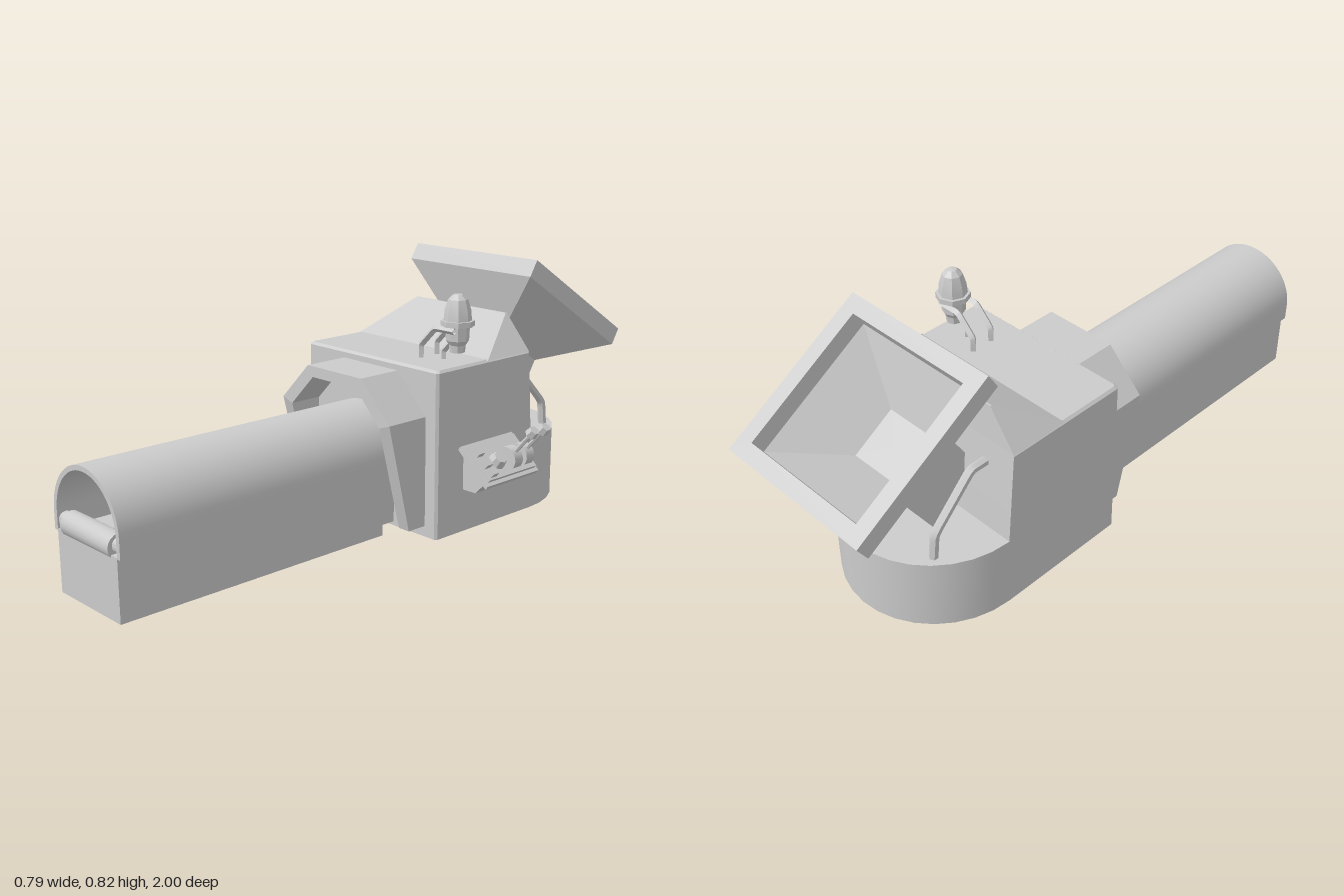
import * as THREE from 'three';
import { toCreasedNormals } from 'three/addons/utils/BufferGeometryUtils.js';

const mat = new THREE.MeshStandardMaterial({ color: 0xcccccc, side: THREE.DoubleSide });

function add(parent, name, geo, pos = [0, 0, 0], crease = 0.55) {
  const mesh = new THREE.Mesh(toCreasedNormals(geo, crease), mat);
  mesh.name = name;
  mesh.position.set(...pos);
  parent.add(mesh);
  return mesh;
}
function group(parent, name, x = 0, y = 0, z = 0) {
  const g = new THREE.Group();
  g.name = name;
  g.position.set(x, y, z);
  parent.add(g);
  return g;
}
const box = (w, h, d) => new THREE.BoxGeometry(w, h, d);
const shapeOf = pts => new THREE.Shape(pts.map(p => new THREE.Vector2(...p)));
const extrude = (shape, depth) =>
  new THREE.ExtrudeGeometry(shape, { depth, bevelEnabled: false, curveSegments: 14 });

// Skin between horizontal rings of [x, z] points, closed on top and open below
function loft(rings, heights) {
  const pos = [], n = rings[0].length;
  const put = (r, i) => pos.push(rings[r][i % n][0], heights[r], rings[r][i % n][1]);
  for (let r = 0; r < rings.length - 1; r++)
    for (let i = 0; i < n; i++) {
      put(r, i); put(r, i + 1); put(r + 1, i + 1);
      put(r, i); put(r + 1, i + 1); put(r + 1, i);
    }
  const top = rings.length - 1;
  for (let i = 1; i < n - 1; i++) { put(top, 0); put(top, i); put(top, i + 1); }
  const g = new THREE.BufferGeometry();
  g.setAttribute('position', new THREE.Float32BufferAttribute(pos, 3));
  g.computeVertexNormals();
  return g;
}
const rect = (hw, front, back) => [[hw, front], [hw, back], [-hw, back], [-hw, front]];

// Bent bar through straight segments
function bar(points, radius, sides = 6) {
  const path = new THREE.CurvePath();
  const v = points.map(p => new THREE.Vector3(...p));
  let from = v[0];
  for (let i = 1; i < v.length - 1; i++) {
    const a = v[i].clone().lerp(v[i - 1], 0.12), b = v[i].clone().lerp(v[i + 1], 0.12);
    path.add(new THREE.LineCurve3(from, a));
    path.add(new THREE.QuadraticBezierCurve3(a, v[i], b));
    from = b;
  }
  path.add(new THREE.LineCurve3(from, v[v.length - 1]));
  return new THREE.TubeGeometry(path, 30, radius, sides, false);
}

export function createModel() {
  const model = new THREE.Group();
  model.name = 'hopperMachine';
  const main = group(model, 'mainUnit', -0.095);
  const HW = 0.297, c = 0.008;

  // Rounded hollow base
  const base = [[HW - c, -0.06], [HW, -0.06 - c]];
  for (let i = 0; i <= 16; i++) {
    const a = (i / 16) * Math.PI;
    base.push([HW * Math.cos(a), -0.51 - 0.3 * Math.sin(a)]);
  }
  base.push([-HW, -0.06 - c], [-HW + c, -0.06]);
  add(main, 'roundedBase', loft([base, base], [0, 0.235]));

  // Upper housing with softened edges and a sloped cap
  const housing = (i, back) => [[HW - c - i, -0.06 - i], [HW - i, -0.06 - c - i], [HW - i, back],
    [-HW + i, back], [-HW + i, -0.06 - c - i], [-HW + c + i, -0.06 - i]];
  add(main, 'housing', loft([housing(0, -0.506), housing(0, -0.484), housing(c, -0.483)], [0.235, 0.533, 0.541]), [0, 0, 0], 0.2);
  add(main, 'slopedCap', loft([rect(HW, -0.285, -0.484), rect(0.203, -0.473, -0.478)], [0.538, 0.652]), [0, 0, 0], 0.2);

  // Angular collar around the tunnel mouth, legs tapering toward the ground
  const collarGeo = extrude(shapeOf([
    [-0.248, 0.035], [-0.248, 0.39], [-0.123, 0.515], [0.123, 0.515], [0.248, 0.39], [0.248, 0.035],
    [0.204, 0.035], [0.204, 0.375], [0.1, 0.48], [-0.1, 0.48], [-0.204, 0.375], [-0.204, 0.035]]), 1);
  const p = collarGeo.attributes.position;
  for (let i = 0; i < p.count; i++) {
    const front = 0.01 + 0.085 * Math.min(1, (p.getY(i) - 0.035) / 0.33);
    p.setZ(i, p.getZ(i) > 0.5 ? front : -0.06);
  }
  collarGeo.computeVertexNormals();
  add(main, 'collar', collarGeo, [0, 0, 0], 0.15);
  add(main, 'collarBackPlate', extrude(shapeOf([[-0.204, 0.035], [0.204, 0.035], [0.204, 0.375],
    [0.1, 0.48], [-0.1, 0.48], [-0.204, 0.375]]), 0.04), [0, 0, -0.06]);

  // Conveyor tunnel: bed, curved hood and end roller
  add(main, 'conveyorBed', box(0.3, 0.19, 0.96), [0, 0.095, 0.51]);
  add(main, 'bedNeck', box(0.3, 0.155, 0.1), [0, 0.1125, -0.01]);
  const hood = new THREE.Shape();
  hood.moveTo(0.165, 0.186);
  hood.lineTo(0.165, 0.242);
  hood.absarc(0, 0.242, 0.165, 0, Math.PI, false);
  hood.lineTo(-0.165, 0.186);
  hood.lineTo(-0.15, 0.186);
  hood.lineTo(-0.15, 0.242);
  hood.absarc(0, 0.242, 0.15, Math.PI, 0, true);
  hood.lineTo(0.15, 0.186);
  add(main, 'tunnelHood', extrude(hood, 1.04), [0, 0, -0.05]);
  const roller = (r, len) => new THREE.CylinderGeometry(r, r, len, 16).rotateZ(Math.PI / 2);
  add(main, 'endRoller', roller(0.037, 0.242), [0, 0.208, 0.963]);
  add(main, 'rollerAxle', roller(0.023, 0.3), [0, 0.213, 0.963]);

  // Tilted square hopper: neck, funnel, rim and inner funnel
  const hopperGeo = new THREE.LatheGeometry([
    [0.108, -0.41], [0.108, -0.161], [0.27, 0], [0.27, 0.06], [0.22, 0.06],
    [0.22, 0], [0.08, -0.15], [0, -0.15]
  ].map(([r, y]) => new THREE.Vector2(r * Math.SQRT2, y)), 4).rotateY(Math.PI / 4).toNonIndexed();
  hopperGeo.computeVertexNormals();
  add(main, 'hopper', hopperGeo, [0, 0.629, -0.739], 0.1).rotation.x = -0.566;

  // Rear grab rails
  for (const s of [-1, 1])
    add(main, 'rearRail', bar([[s * 0.19, 0.46, -0.48], [s * 0.19, 0.46, -0.545],
      [s * 0.19, 0.315, -0.685], [s * 0.19, 0.225, -0.695]], 0.014));

  // Warning lamp on bent brackets
  const lamp = group(model, 'warningLamp', 0.15, 0, -0.2);
  add(lamp, 'lampSocket', new THREE.LatheGeometry([[0, 0.572], [0.024, 0.572], [0.026, 0.595],
    [0.036, 0.61], [0.038, 0.656], [0, 0.656]].map(q => new THREE.Vector2(...q)), 8), [0, 0, 0], 0.3);
  add(lamp, 'lampFlange', new THREE.CylinderGeometry(0.053, 0.053, 0.017, 8), [0, 0.664, 0]);
  add(lamp, 'lampDome', new THREE.LatheGeometry([[0.044, 0.672], [0.041, 0.705], [0.031, 0.738],
    [0.015, 0.753], [0, 0.756]].map(q => new THREE.Vector2(...q)), 8), [0, 0, 0], 0.3);
  for (const z of [-0.036, 0.036])
    add(lamp, 'lampBracket', bar([[-0.121, 0.535, z], [-0.121, 0.583, z], [-0.06, 0.644, z],
      [0.02, 0.644, z]], 0.011, 4), [0, 0, 0], 0.3);
  add(lamp, 'innerBracket', bar([[-0.057, 0.535, 0], [-0.057, 0.568, 0], [-0.025, 0.6, 0],
    [0, 0.6, 0]], 0.01, 4), [0, 0, 0], 0.3);

  // Side control console on two brackets
  const bracket = shapeOf([[0.195, 0.14], [0.255, 0.14], [0.32, 0.205], [0.235, 0.282], [0.195, 0.265]]);
  for (const z of [-0.236, -0.346]) add(model, 'consoleBracket', extrude(bracket, 0.056), [0, 0, z]);
  const panel = group(model, 'controlConsole', 0.272, 0.234, -0.268);
  panel.rotation.z = -0.72;
  add(panel, 'consolePlate', box(0.155, 0.016, 0.24));
  add(panel, 'consoleTop', box(0.13, 0.012, 0.22), [0, 0.014, 0]);
  for (const z of [-0.082, -0.027]) {
    const lever = group(panel, 'lever', 0.012, 0.02, z);
    add(lever, 'leverMount', new THREE.CylinderGeometry(0.038, 0.038, 0.036, 10, 1, false, 0, Math.PI)
      .rotateX(-Math.PI / 2).rotateZ(Math.PI / 2).rotateY(Math.PI / 2).rotateY(Math.PI / 2));
    add(lever, 'leverPivot', new THREE.CylinderGeometry(0.036, 0.036, 0.036, 10).rotateX(Math.PI / 2));
    add(lever, 'leverRod', new THREE.CylinderGeometry(0.007, 0.007, 0.12, 6), [0, 0.07, 0]);
    add(lever, 'leverKnob', new THREE.CylinderGeometry(0.016, 0.02, 0.024, 6), [0, 0.134, 0], 0.3);
  }
  add(panel, 'dial', new THREE.CylinderGeometry(0.022, 0.03, 0.03, 8), [0.012, 0.032, 0.036], 0.3);
  for (const x of [-0.032, 0.012, 0.046])
    add(panel, 'button', box(0.024, 0.022, 0.026), [x, 0.028, 0.088]);
  return model;
}
